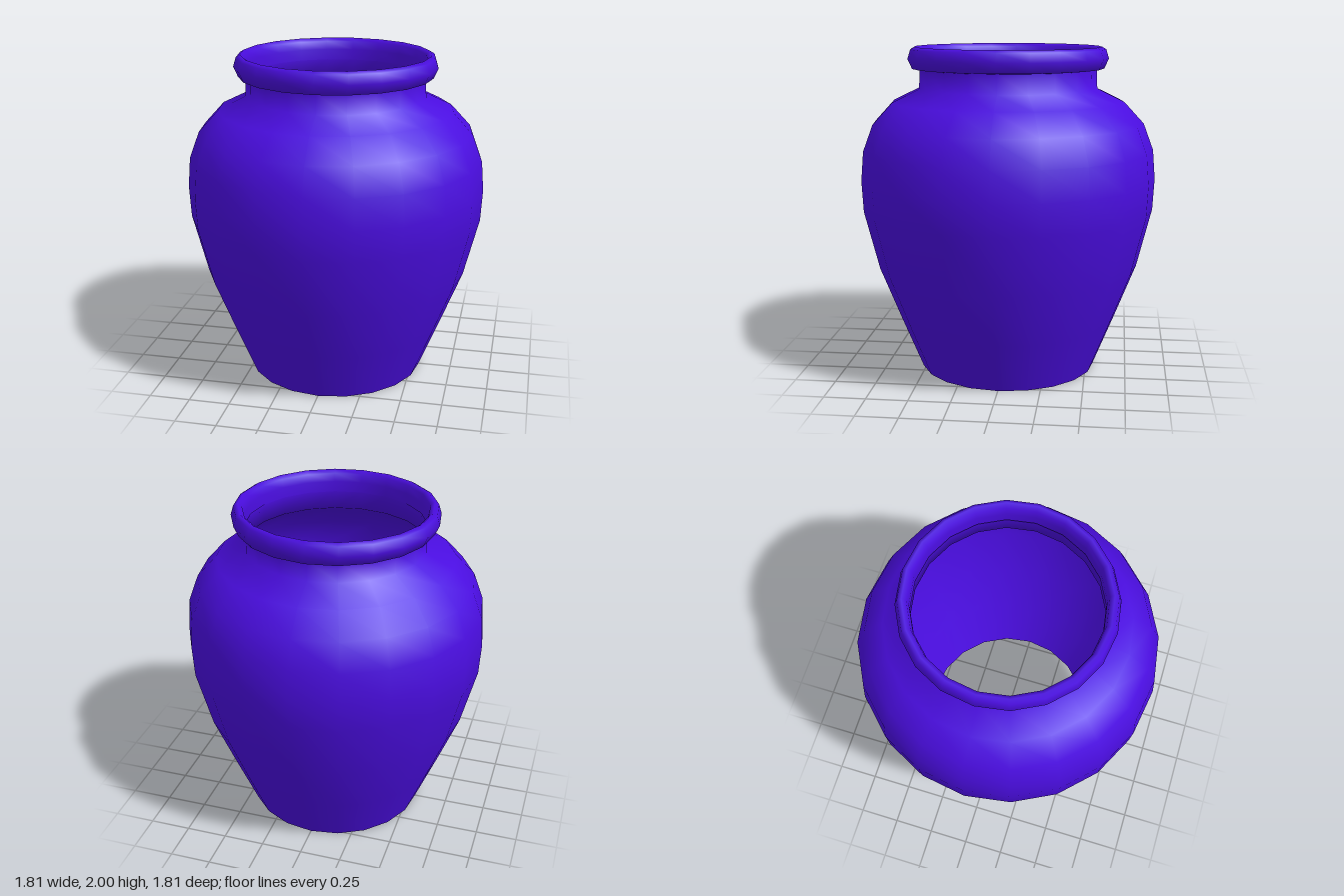
import * as THREE from 'three';

const SIDES = 20;

export function createModel() {
  const model = new THREE.Group();
  model.name = 'jar';

  const outer = new THREE.MeshStandardMaterial({ color: 0x4a0de0 });
  const thin = outer.clone();
  thin.side = THREE.DoubleSide;

  const lathe = (name, profile) => {
    const points = profile.map(([r, y]) => new THREE.Vector2(r, y));
    const mesh = new THREE.Mesh(new THREE.LatheGeometry(points, SIDES), thin);
    mesh.name = name;
    model.add(mesh);
  };

  // Tapered belly, rounded shoulder and short straight neck
  lathe('body', [
    [0.545, 0], [0.675, 0.32], [0.805, 0.65], [0.895, 1.01], [0.905, 1.2],
    [0.89, 1.38], [0.83, 1.54], [0.71, 1.67], [0.545, 1.75], [0.54, 1.87],
  ]);

  // Rolled lip, from under the outer edge over the top to the inside
  lathe('rim', [
    [0.535, 1.865], [0.585, 1.87], [0.612, 1.93], [0.595, 1.985],
    [0.57, 2], [0.545, 1.98], [0.535, 1.93], [0.535, 1.865],
  ]);

  // Flat underside
  const base = new THREE.Mesh(new THREE.CircleGeometry(0.545, SIDES), outer);
  base.name = 'base';
  base.rotation.x = Math.PI / 2;
  model.add(base);

  return model;
}
